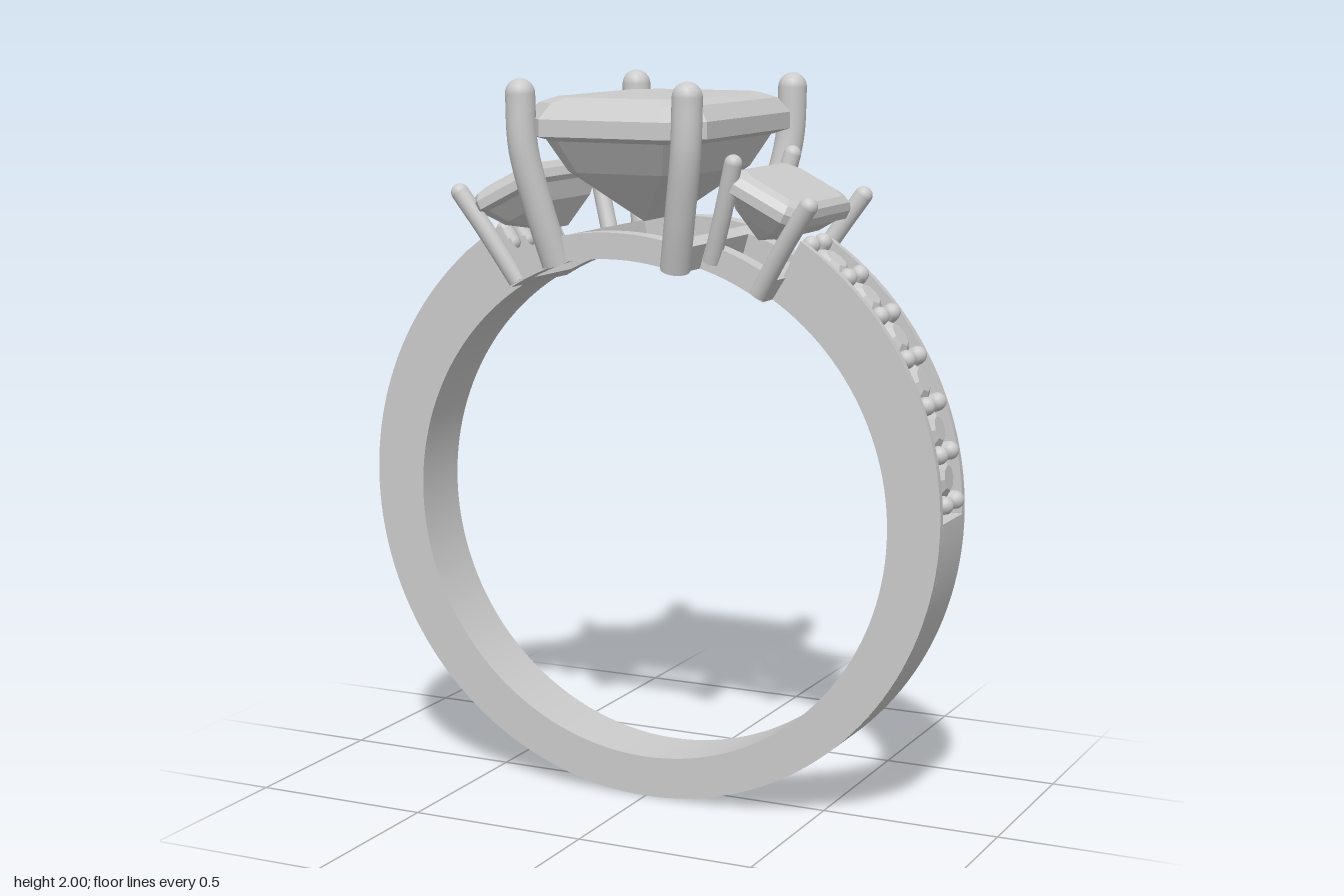
import * as THREE from 'three';
import { toCreasedNormals } from 'three/addons/utils/BufferGeometryUtils.js';

const metal = new THREE.MeshStandardMaterial({ color: 0xcccccc });
const gemMat = new THREE.MeshStandardMaterial({ color: 0xcccccc, flatShading: true });
const rad = THREE.MathUtils.degToRad;

// Finger hole and outer rim are slightly eccentric circles
const IN = { y: 0.822, r: 0.708 }, OUT = { y: 0.855, r: 0.855 };

function add(parent, name, geo, mat = metal) {
  const m = new THREE.Mesh(geo, mat);
  m.name = name;
  parent.add(m);
  return m;
}

// Extrudes an arc strip between z0 and z1; arcs = outer edge pieces [centreY, radius, a0, a1] in degrees
function arcStrip(parent, name, arcs, z0, z1) {
  const s = new THREE.Shape();
  arcs.forEach(([y, r, a0, a1]) => s.absarc(0, y, r, rad(a0), rad(a1), false));
  s.absarc(0, IN.y, IN.r, rad(arcs[arcs.length - 1][3]), rad(arcs[0][2]), true);
  const g = new THREE.ExtrudeGeometry(s, { depth: z1 - z0, bevelEnabled: false, curveSegments: 64 });
  g.translate(0, 0, z0);
  return add(parent, name, toCreasedNormals(g, rad(25)));
}

// Step-cut stone from cut-corner rectangles [halfX, halfZ, cornerCut, y], listed top to bottom
function stepCut(levels) {
  const pos = [], n = 8;
  levels.forEach(([x, z, c, y]) => {
    [[x, z - c], [x - c, z], [c - x, z], [-x, z - c], [-x, c - z], [c - x, -z], [x - c, -z], [x, c - z]]
      .forEach(([px, pz]) => pos.push(px, y, pz));
  });
  const idx = [], last = (levels.length - 1) * n;
  for (let l = 0; l < levels.length - 1; l++) {
    for (let i = 0; i < n; i++) {
      const a = l * n + i, b = l * n + (i + 1) % n;
      idx.push(a, b, b + n, a, b + n, a + n);
    }
  }
  for (let i = 1; i < n - 1; i++) {
    idx.push(0, i + 1, i, last, last + i, last + i + 1);
  }
  const g = new THREE.BufferGeometry();
  g.setAttribute('position', new THREE.Float32BufferAttribute(pos, 3));
  g.setIndex(idx);
  const flat = g.toNonIndexed();
  flat.computeVertexNormals();
  return flat;
}

// Claw: round wire with a domed tip and a flat foot; points run foot to tip
function prong(parent, name, points, r) {
  const group = new THREE.Group();
  group.name = name;
  const curve = new THREE.CatmullRomCurve3(points.map(p => new THREE.Vector3(...p)));
  add(group, name + 'Wire', new THREE.TubeGeometry(curve, 16, r, 16));
  add(group, name + 'Tip', new THREE.SphereGeometry(r, 16, 12)).position.copy(curve.getPoint(1));
  const foot = add(group, name + 'Foot', new THREE.CircleGeometry(r, 16));
  foot.position.copy(curve.getPoint(0));
  foot.quaternion.setFromUnitVectors(new THREE.Vector3(0, 0, 1), curve.getTangent(0).negate());
  parent.add(group);
}

export function createModel() {
  const ring = new THREE.Group();
  ring.name = 'ring';

  // Band: solid core with a recessed channel on both shoulders, plus two side walls
  const wall = 0.077, half = 0.097, floor = 0.815;
  arcStrip(ring, 'bandCore', [
    [OUT.y, floor, 122, 180], [OUT.y, OUT.r, 180, 360], [OUT.y, floor, 360, 418],
  ], -wall, wall);
  for (const [z0, z1] of [[-half, -wall], [wall, half]]) {
    arcStrip(ring, 'bandWall', [[OUT.y, OUT.r, 122, 418]], z0, z1);
  }

  // Open gallery under the stones: curved rails and cross bars
  const rim = 0.778;
  const rail = (name, a0, a1, z0, z1) => arcStrip(ring, name, [[IN.y, rim, a0, a1]], z0, z1);
  for (const s of [-1, 1]) {
    const span = (a, b) => (s > 0 ? [a, b] : [-b, -a]);
    rail('centerRail', 74, 106, ...span(0.23, 0.29));
    rail('shoulderRail', 58, 74, ...span(0.11, 0.165));
    rail('shoulderRail', 106, 122, ...span(0.11, 0.165));
  }
  rail('centerCrossBar', 74, 78, -0.23, 0.23);
  rail('centerCrossBar', 102, 106, -0.23, 0.23);
  rail('shoulderCrossBar', 58, 62, -0.11, 0.11);
  rail('shoulderCrossBar', 118, 122, -0.11, 0.11);

  // Main stone
  add(ring, 'centerStone', stepCut([
    [0.195, 0.285, 0.06, 1.95], [0.235, 0.33, 0.075, 1.935], [0.265, 0.36, 0.085, 1.895],
    [0.265, 0.36, 0.085, 1.85], [0.225, 0.305, 0.07, 1.835], [0.18, 0.25, 0.055, 1.75],
    [0.002, 0.1, 0.001, 1.615],
  ]), gemMat);

  const sideStone = stepCut([
    [0.09, 0.165, 0.03, 0.025], [0.11, 0.195, 0.036, 0.015], [0.12, 0.21, 0.04, -0.005],
    [0.12, 0.21, 0.04, -0.03], [0.105, 0.185, 0.035, -0.04], [0.08, 0.145, 0.028, -0.085],
    [0.002, 0.07, 0.001, -0.14],
  ]);

  // Small round accent stone with faceted crown and pavilion
  const accent = new THREE.LatheGeometry([
    [0, -0.045], [0.056, 0], [0.056, 0.006], [0.034, 0.022], [0, 0.022],
  ].map(p => new THREE.Vector2(...p)), 8);
  const bead = new THREE.CapsuleGeometry(0.025, 0.04, 6, 12);

  for (const sx of [1, -1]) {
    // Tilted side stones
    const side = add(ring, 'sideStone', sideStone, gemMat);
    side.position.set(sx * 0.385, 1.7, 0);
    side.rotation.z = -sx * rad(27);

    // Claws for main and side stones
    for (const sz of [1, -1]) {
      const at = (x, y, z) => [sx * x, y, sz * z];
      prong(ring, 'centerProng', [
        at(0.175, 1.51, 0.275), at(0.205, 1.65, 0.31), at(0.236, 1.82, 0.342), at(0.242, 1.96, 0.345),
      ], 0.04);
      prong(ring, 'sideOuterProng', [at(0.36, 1.44, 0.155), at(0.44, 1.57, 0.178), at(0.515, 1.68, 0.195)], 0.025);
      prong(ring, 'sideInnerProng', [at(0.225, 1.52, 0.155), at(0.27, 1.66, 0.18), at(0.305, 1.785, 0.198)], 0.024);
    }

    // Shoulder accents: paired beads with a stone between each pair
    for (let i = 0; i < 7; i++) {
      const place = (mesh, deg, r, z) => {
        const a = rad(deg);
        mesh.position.set(sx * r * Math.cos(a), OUT.y + r * Math.sin(a), z);
        mesh.rotation.z = sx * (a - Math.PI / 2);
      };
      for (const z of [-0.042, 0.042]) {
        place(add(ring, 'accentBead', bead), 3 + 9 * i, 0.827, z);
      }
      if (i < 6) place(add(ring, 'accentStone', accent, gemMat), 7.5 + 9 * i, 0.828, 0);
    }
  }
  return ring;
}
